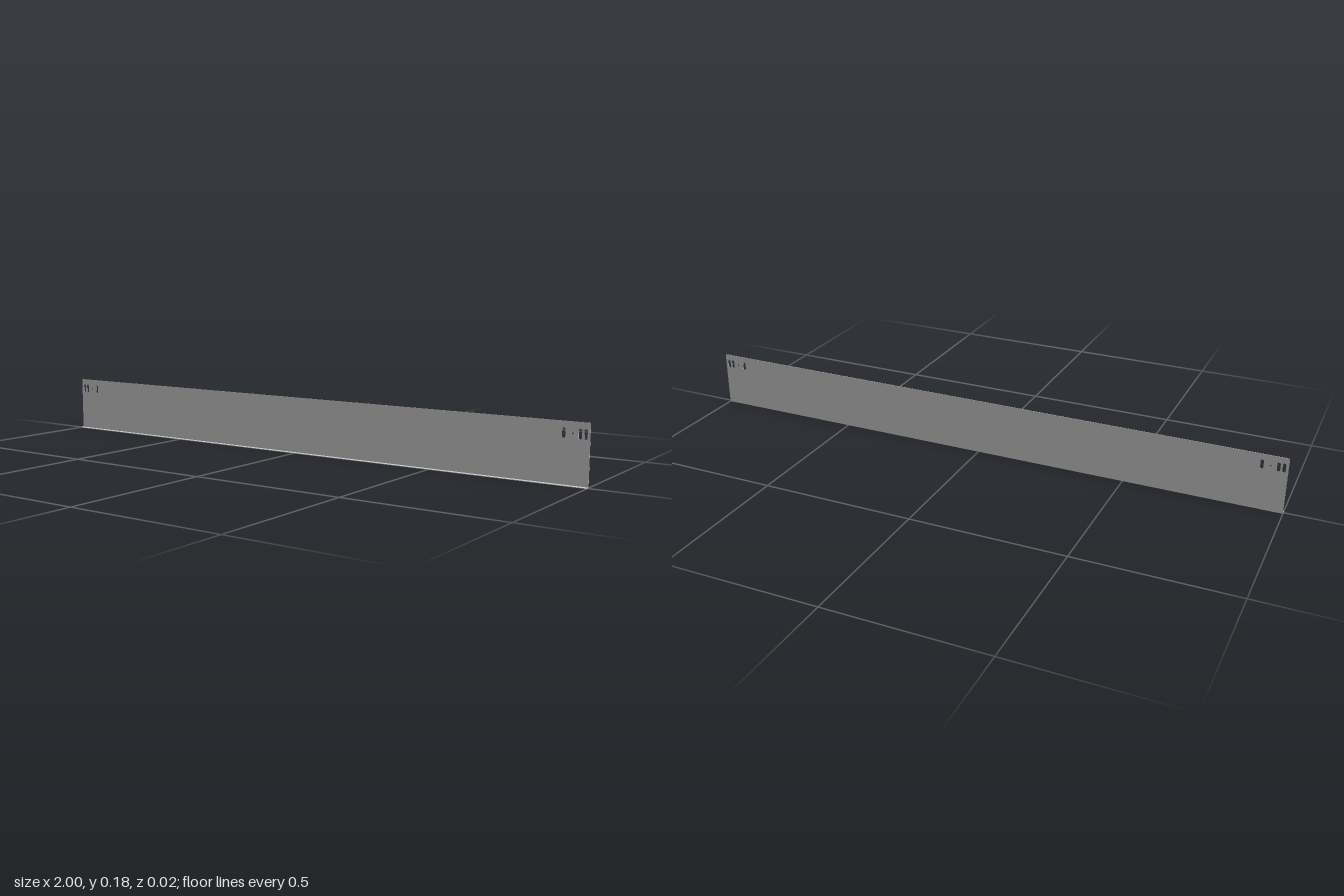
import * as THREE from 'three';

const T = 0.0012;       // sheet thickness
const HEIGHT = 0.184;
const BACK = -0.008;    // rear face of the sheet
const DEPTH = 0.016;
const HOLE_Y = 0.15;

// Upright slot with rounded ends; a slot as tall as it is wide is a round hole
function slot(x, y, width, height) {
  const r = width / 2, h = (height - width) / 2;
  const path = new THREE.Path();
  path.absarc(x, y + h, r, 0, Math.PI, false);
  path.absarc(x, y - h, r, Math.PI, Math.PI * 2, false);
  path.closePath();
  return path;
}

export function createModel() {
  const group = new THREE.Group();
  const material = new THREE.MeshStandardMaterial({ color: 0xcccccc });

  // Upright sheet with mirrored rows of mounting holes
  const sheet = new THREE.Shape([
    new THREE.Vector2(-1, 0), new THREE.Vector2(1, 0),
    new THREE.Vector2(1, HEIGHT), new THREE.Vector2(-1, HEIGHT),
  ]);
  for (const side of [-1, 1]) {
    for (const x of [0.922, 0.971, 0.987]) {
      sheet.holes.push(slot(side * x, HOLE_Y, 0.01, 0.03));
    }
    sheet.holes.push(slot(side * 0.948, HOLE_Y, 0.005, 0.005));
  }
  const panel = new THREE.Mesh(
    new THREE.ExtrudeGeometry(sheet, { depth: T, bevelEnabled: false, curveSegments: 8 }),
    material,
  );
  panel.name = 'panel';
  panel.position.z = BACK;
  group.add(panel);

  // Narrow lip folded forward along the bottom edge
  const lip = new THREE.Mesh(new THREE.BoxGeometry(2, T, DEPTH - T), material);
  lip.name = 'bottomLip';
  lip.position.set(0, T / 2, BACK + T + (DEPTH - T) / 2);
  group.add(lip);

  return group;
}
